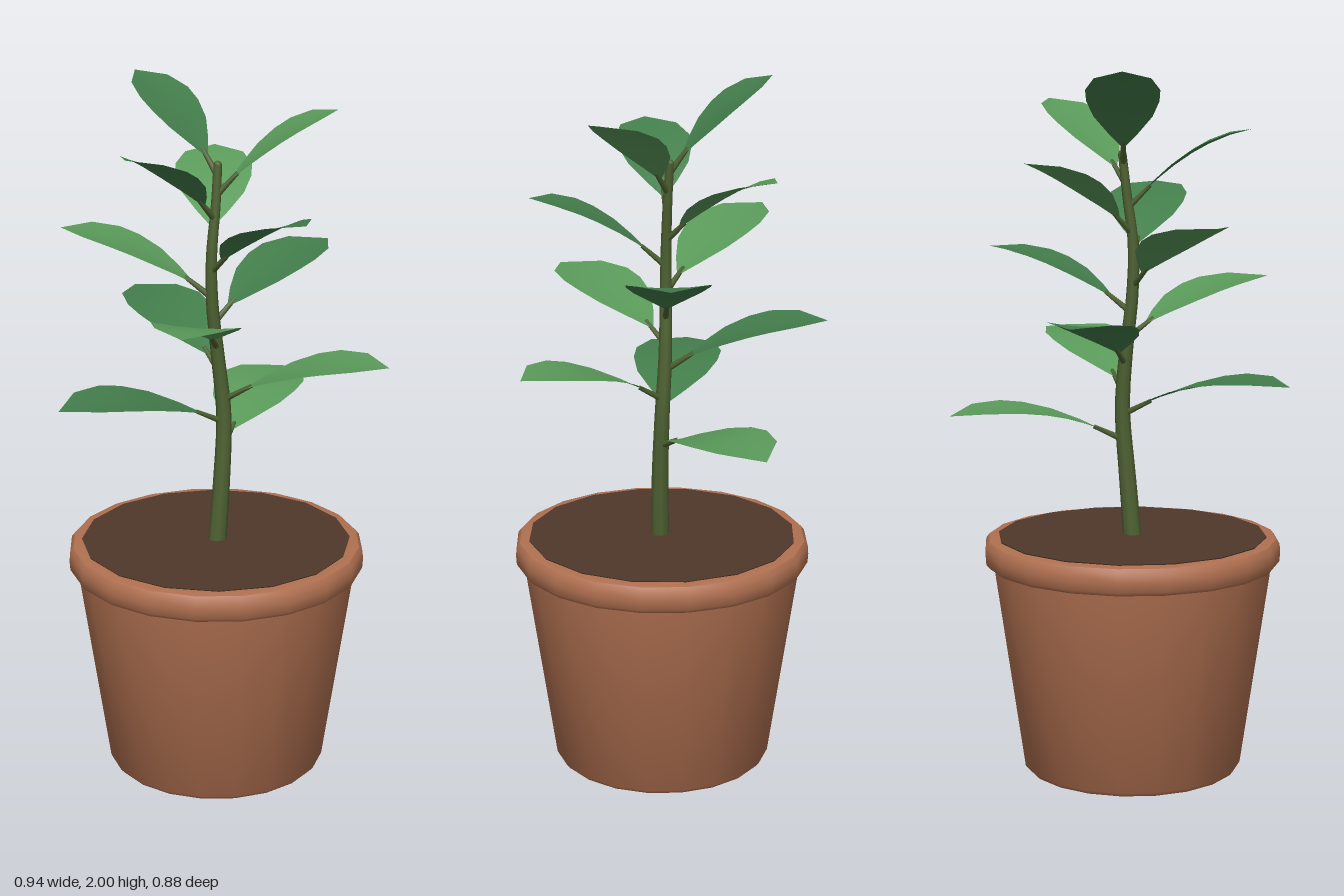
import * as THREE from 'three';
import { toCreasedNormals } from 'three/addons/utils/BufferGeometryUtils.js';

const V = (x, y, z) => new THREE.Vector3(x, y, z);
const mat = (color, side = THREE.FrontSide) => new THREE.MeshStandardMaterial({ color, side });

function add(parent, name, geometry, material) {
  const mesh = new THREE.Mesh(geometry, material);
  mesh.name = name;
  parent.add(mesh);
  return mesh;
}

// Tube along a curve whose radius shrinks from r0 to r1
function taperedTube(curve, segments, sides, r0, r1) {
  const geo = new THREE.TubeGeometry(curve, segments, 1, sides);
  const pos = geo.attributes.position;
  const p = V(0, 0, 0);
  for (let i = 0; i < pos.count; i++) {
    const t = Math.floor(i / (sides + 1)) / segments;
    const c = curve.getPointAt(t);
    p.fromBufferAttribute(pos, i).sub(c).multiplyScalar(r0 + (r1 - r0) * t).add(c);
    pos.setXYZ(i, p.x, p.y, p.z);
  }
  return geo;
}

// Leaf outline: [position along the blade, relative half width]
const OUTLINE = [[0, 0.06], [0.12, 0.42], [0.28, 0.8], [0.45, 0.98], [0.6, 1], [0.8, 0.76], [1, 0]];
const BLADE_START = 0.13;

// Blade: a plane bent along the curve, shaped by the outline and slightly cupped
function bladeGeometry(curve, halfWidth) {
  const rows = OUTLINE.length - 1;
  const geo = new THREE.PlaneGeometry(2, 1, 4, rows);
  const pos = geo.attributes.position;
  const up = V(0, 1, 0);
  for (let i = 0; i < pos.count; i++) {
    const s = pos.getX(i);
    const [t, w] = OUTLINE[Math.round((pos.getY(i) + 0.5) * rows)];
    const u = BLADE_START + (1 - BLADE_START) * t;
    const along = curve.getTangent(u);
    const side = along.clone().cross(up).normalize();
    const normal = side.clone().cross(along);
    const p = curve.getPoint(u)
      .addScaledVector(side, s * w * halfWidth)
      .addScaledVector(normal, 0.008 * s * s * w);
    pos.setXYZ(i, p.x, p.y, p.z);
  }
  geo.computeVertexNormals();
  return geo;
}

export function createModel() {
  const model = new THREE.Group();
  model.name = 'pottedPlant';

  const clay = mat(0xb07050);
  const stemMat = mat(0x4e6232);
  const leafMats = [mat(0x5a9a5a, THREE.DoubleSide), mat(0x437d4b, THREE.DoubleSide)];

  // Pot with a rounded rim
  const pot = new THREE.Group();
  pot.name = 'pot';
  pot.position.set(-0.022, 0, 0.01);
  model.add(pot);
  const lathe = (pts) => toCreasedNormals(
    new THREE.LatheGeometry(pts.map(([r, y]) => new THREE.Vector2(r, y)), 20), 0.7);
  add(pot, 'potBody', lathe([[0, 0], [0.305, 0], [0.315, 0.012], [0.402, 0.61]]), clay);
  add(pot, 'potRim', lathe([[0.39, 0.602], [0.415, 0.602], [0.424, 0.613], [0.426, 0.64],
    [0.424, 0.664], [0.414, 0.677], [0.4, 0.68], [0.375, 0.68], [0.37, 0.64]]), clay);
  const soil = add(pot, 'soil', new THREE.CylinderGeometry(0.387, 0.37, 0.04, 16), mat(0x4f382a));
  soil.position.y = 0.663;

  // Gently winding stem
  const stem = new THREE.CatmullRomCurve3([
    V(-0.024, 0.66, 0.015), V(-0.008, 0.85, 0.018), V(0.006, 1.05, 0.014), V(-0.006, 1.22, 0.003),
    V(-0.024, 1.38, -0.002), V(-0.026, 1.52, -0.003), V(-0.008, 1.66, -0.004), V(0.004, 1.77, -0.008)]);
  add(model, 'stem', taperedTube(stem, 24, 8, 0.027, 0.012), stemMat);
  const bud = add(model, 'stemTip', new THREE.SphereGeometry(0.012, 8, 6), stemMat);
  bud.position.copy(stem.getPoint(1));
  const stemPoints = stem.getSpacedPoints(120);
  const stemAt = (y) => stemPoints.reduce((a, b) =>
    (Math.abs(b.y - y) < Math.abs(a.y - y) ? b : a)).clone();

  // Spiralling leaves, bottom to top: [height on stem, tip x, tip y, tip z]
  const leaves = [
    [0.96, 0.47, 1.05, -0.185], [1.03, -0.475, 1.14, -0.15], [1.1, 0.22, 1.235, 0.44],
    [1.18, 0.1, 1.33, -0.44], [1.25, -0.395, 1.41, 0.245], [1.33, 0.39, 1.505, 0.06],
    [1.4, -0.285, 1.59, -0.335], [1.47, -0.06, 1.675, 0.375], [1.55, 0.248, 1.755, -0.255],
    [1.62, -0.355, 1.84, 0], [1.69, 0.24, 1.92, 0.22], [1.74, -0.025, 2.0, -0.3]];
  leaves.forEach(([h, x, y, z], i) => {
    const base = stemAt(h);
    const tip = V(x, y, z);
    const bend = base.clone().lerp(tip, 0.5);
    bend.y += 0.095 - 0.002 * i;
    const curve = new THREE.QuadraticBezierCurve3(base, bend, tip);
    const leaf = new THREE.Group();
    leaf.name = 'leaf' + (i + 1);
    add(leaf, 'blade', bladeGeometry(curve, 0.129 - 0.0025 * i), leafMats[i % 2]);
    // Stalk joining blade to stem
    const stalk = new THREE.LineCurve3(base, curve.getPoint(BLADE_START + 0.05));
    add(leaf, 'stalk', taperedTube(stalk, 1, 6, 0.01, 0.006), stemMat);
    model.add(leaf);
  });

  return model;
}
